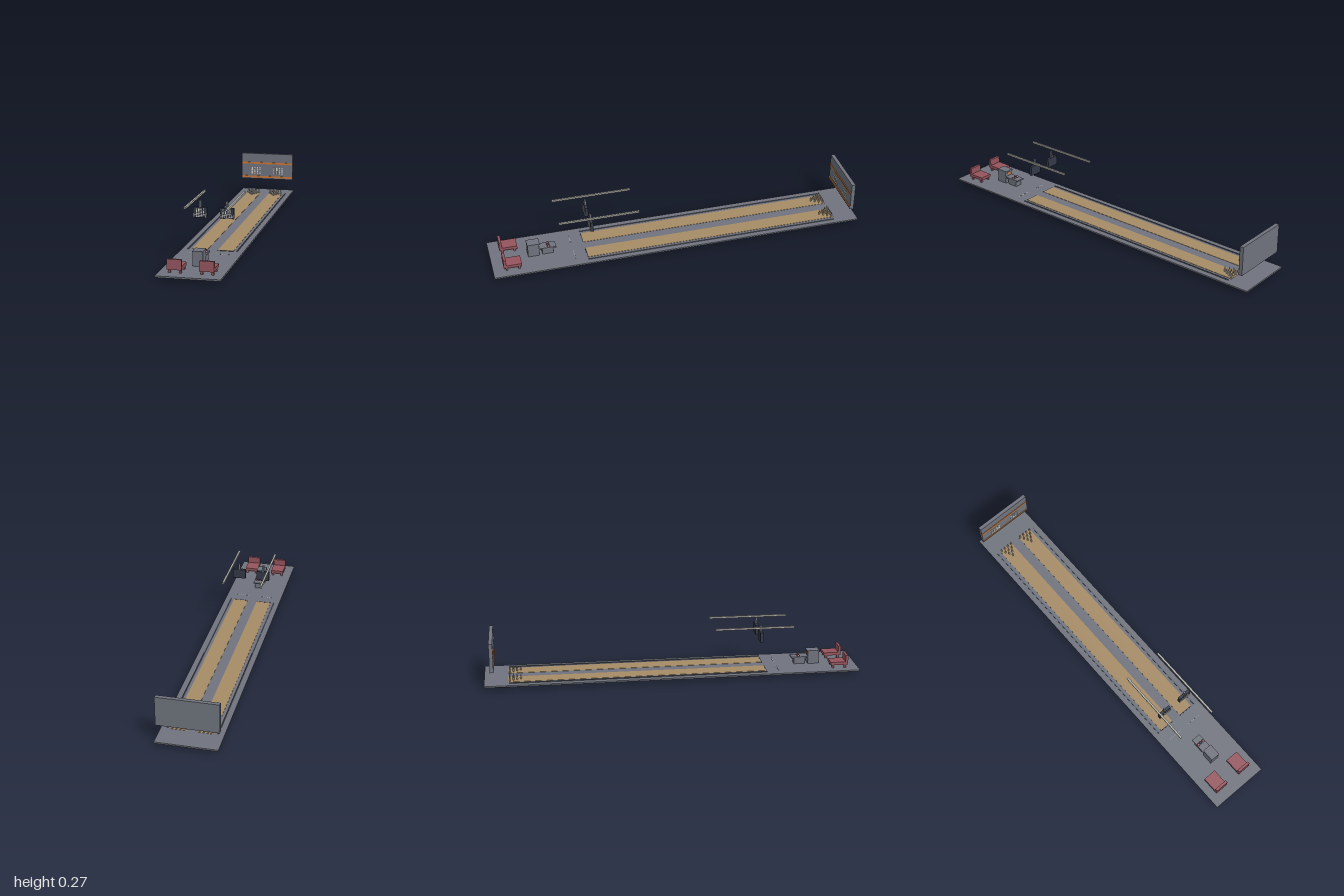
import * as THREE from 'three';

const mat = (name, color, extra = {}) => {
  const m = new THREE.MeshStandardMaterial({ color, ...extra });
  m.name = name;
  return m;
};
const M = {
  grey: mat('slate grey', 0x70747e),
  wood: mat('lane wood', 0xa68c66),
  red: mat('seat red', 0x96555e),
  navy: mat('dark navy', 0x333948),
  orange: mat('orange', 0xcb7836),
  white: mat('off white', 0xd6d4c8),
  rail: mat('pale grey', 0xb4b3ac),
  curb: mat('curb grey', 0x5c616c),
};

// Box given by its minimum and maximum on each axis
function box(parent, name, material, [x0, x1], [y0, y1], [z0, z1]) {
  const mesh = new THREE.Mesh(new THREE.BoxGeometry(x1 - x0, y1 - y0, z1 - z0), material);
  mesh.position.set((x0 + x1) / 2, (y0 + y1) / 2, (z0 + z1) / 2);
  mesh.name = name;
  parent.add(mesh);
  return mesh;
}

function group(parent, name, x = 0, y = 0, z = 0) {
  const g = new THREE.Group();
  g.name = name;
  g.position.set(x, y, z);
  parent.add(g);
  return g;
}

const TOP = 0.024; // floor height
const LANE = 0.0665; // lane centre

// Turned pin with a red band around its neck
const lathe = (pts) => new THREE.LatheGeometry(pts.map(([r, y]) => new THREE.Vector2(r, y)), 10);
const pinBody = lathe([[0, 0], [0.003, 0], [0.005, 0.008], [0.0045, 0.012], [0.0022, 0.018],
  [0.0022, 0.02], [0.003, 0.023], [0.0022, 0.026], [0, 0.027]]);
const pinBand = lathe([[0.0026, 0.0175], [0.0026, 0.02]]);

function addPins(parent, x) {
  const rack = group(parent, 'pinRack', x, TOP + 0.0015, -0.808);
  for (let row = 0; row < 4; row++) {
    for (let i = 0; i <= row; i++) {
      const pin = group(rack, 'pin', (i - row / 2) * 0.022, 0, -row * 0.0195);
      const body = new THREE.Mesh(pinBody, M.white);
      body.name = 'pinBody';
      const band = new THREE.Mesh(pinBand, M.red);
      band.name = 'pinBand';
      pin.add(body, band);
    }
  }
}

// Abstract lit bars arranged in two blocks, used on the wall and displays
function addLightBars(parent, x, y, z, w, h) {
  const t = w * 0.13;
  for (const block of [-1, 1]) {
    for (const side of [-1, 1]) {
      for (let i = 0; i < 4; i++) {
        const cx = x + block * w * 0.29 + side * w * 0.14;
        const cy = y + (i - 1.5) * h * 0.25;
        box(parent, 'lightBar', M.white, [cx - t / 2, cx + t / 2], [cy - h * 0.095, cy + h * 0.095], [z, z + 0.002]);
      }
    }
  }
}

function addLane(root, x) {
  const lane = group(root, 'lane');
  box(lane, 'laneBed', M.wood, [x - 0.04, x + 0.04], [0.0155, TOP + 0.0015], [-0.875, 0.5]);
  box(lane, 'foulLine', M.navy, [x - 0.04, x + 0.04], [TOP, TOP + 0.002], [0.497, 0.501]);
  // Approach dots
  for (let i = -3; i <= 3; i++) {
    const d = x + i * 0.011;
    box(lane, 'approachDot', M.rail, [d - 0.0018, d + 0.0018], [TOP, TOP + 0.0008], [0.563, 0.567]);
  }
  addPins(lane, x);
}

function addDisplay(root, x) {
  const d = group(root, 'scoreDisplay', x, 0, 0.47);
  box(d, 'displayCase', M.navy, [-0.0355, 0.0355], [0.183, 0.236], [-0.008, 0.008]);
  box(d, 'displayMount', M.grey, [-0.0055, 0.0055], [0.236, 0.27], [-0.0055, 0.0055]);
  addLightBars(d, 0, 0.219, 0.008, 0.042, 0.023);
  // Score table grid
  for (let i = 0; i < 4; i++) {
    const y = 0.187 + i * 0.006;
    box(d, 'tableRow', M.white, [-0.033, 0.033], [y - 0.0006, y + 0.0006], [0.008, 0.0092]);
  }
  for (let i = 0; i < 11; i++) {
    const c = -0.0325 + i * 0.0065;
    box(d, 'tableColumn', M.white, [c - 0.0006, c + 0.0006], [0.187, 0.205], [0.008, 0.009]);
  }
}

function addSeat(root, x) {
  const s = group(root, 'seat', x, 0, 0);
  box(s, 'seatCushion', M.red, [-0.0355, 0.0355], [0.041, 0.057], [0.849, 0.944]);
  box(s, 'seatBack', M.red, [-0.0355, 0.0355], [0.057, 0.092], [0.93, 0.944]);
  for (const lx of [-0.026, 0.026]) {
    for (const lz of [0.863, 0.928]) {
      box(s, 'seatLeg', M.red, [lx - 0.0055, lx + 0.0055], [TOP, 0.041], [lz - 0.0055, lz + 0.0055]);
    }
  }
}

export function createModel() {
  const root = new THREE.Group();
  root.name = 'bowlingLanes';

  // Floor in pieces, leaving slots for the lane beds
  const FY = [0.016, TOP];
  box(root, 'floorFront', M.grey, [-0.157, 0.157], FY, [0.5, 1]);
  box(root, 'floorBack', M.grey, [-0.157, 0.157], FY, [-1, -0.875]);
  for (const xs of [[-0.157, -LANE - 0.04], [-LANE + 0.04, LANE - 0.04], [LANE + 0.04, 0.157]]) {
    box(root, 'floorStrip', M.grey, xs, FY, [-0.875, 0.5]);
  }

  // Pin pit under the far end, open at both ends
  box(root, 'pitBottom', M.navy, [-0.123, 0.123], [0, 0.003], [-0.932, -0.87]);
  for (const z of [-0.932, -0.873]) {
    box(root, 'pitWall', M.navy, [-0.123, 0.123], [0.003, 0.016], [z, z + 0.003]);
  }

  // Things that come in mirrored pairs
  for (const s of [-1, 1]) {
    addLane(root, s * LANE);
    addDisplay(root, s * 0.068);
    addSeat(root, s * 0.078);
    const c = s * 0.125;
    box(root, 'laneCurb', M.curb, [c - 0.0025, c + 0.0025], [TOP, 0.028], [-0.87, 0.5]);
    const r = s * 0.105;
    box(root, 'ceilingRail', M.rail, [r - 0.005, r + 0.005], [0.261, 0.27], [0.218, 0.642]);
  }

  // Masking wall above the pins
  const wall = group(root, 'maskingWall');
  box(wall, 'wallPanel', M.grey, [-0.157, 0.157], [0.097, 0.253], [-0.967, -0.947]);
  for (const y of [0.104, 0.189]) {
    box(wall, 'wallStripe', M.orange, [-0.157, 0.157], [y, y + 0.011], [-0.947, -0.944]);
  }
  for (const s of [-1, 1]) addLightBars(wall, s * 0.068, 0.148, -0.947, 0.056, 0.044);

  // Console and ball return
  const con = group(root, 'ballReturn');
  box(con, 'consoleBody', M.grey, [-0.025, 0.025], [TOP, 0.093], [0.743, 0.803]);
  box(con, 'consoleTop', M.grey, [-0.026, 0.026], [0.093, 0.098], [0.738, 0.805]);
  box(con, 'consoleOutlet', M.orange, [-0.012, 0.012], [0.072, 0.088], [0.741, 0.743]);
  box(con, 'returnBase', M.grey, [-0.02, 0.02], [TOP, 0.058], [0.668, 0.726]);
  box(con, 'returnTray', M.grey, [-0.025, 0.025], [0.058, 0.065], [0.652, 0.743]);
  [M.red, M.navy, M.red].forEach((m, i) => {
    const ball = new THREE.Mesh(new THREE.SphereGeometry(0.0075, 14, 10), m);
    ball.name = 'ball';
    ball.position.set((i - 1) * 0.016, 0.067, 0.692);
    con.add(ball);
  });
  return root;
}
